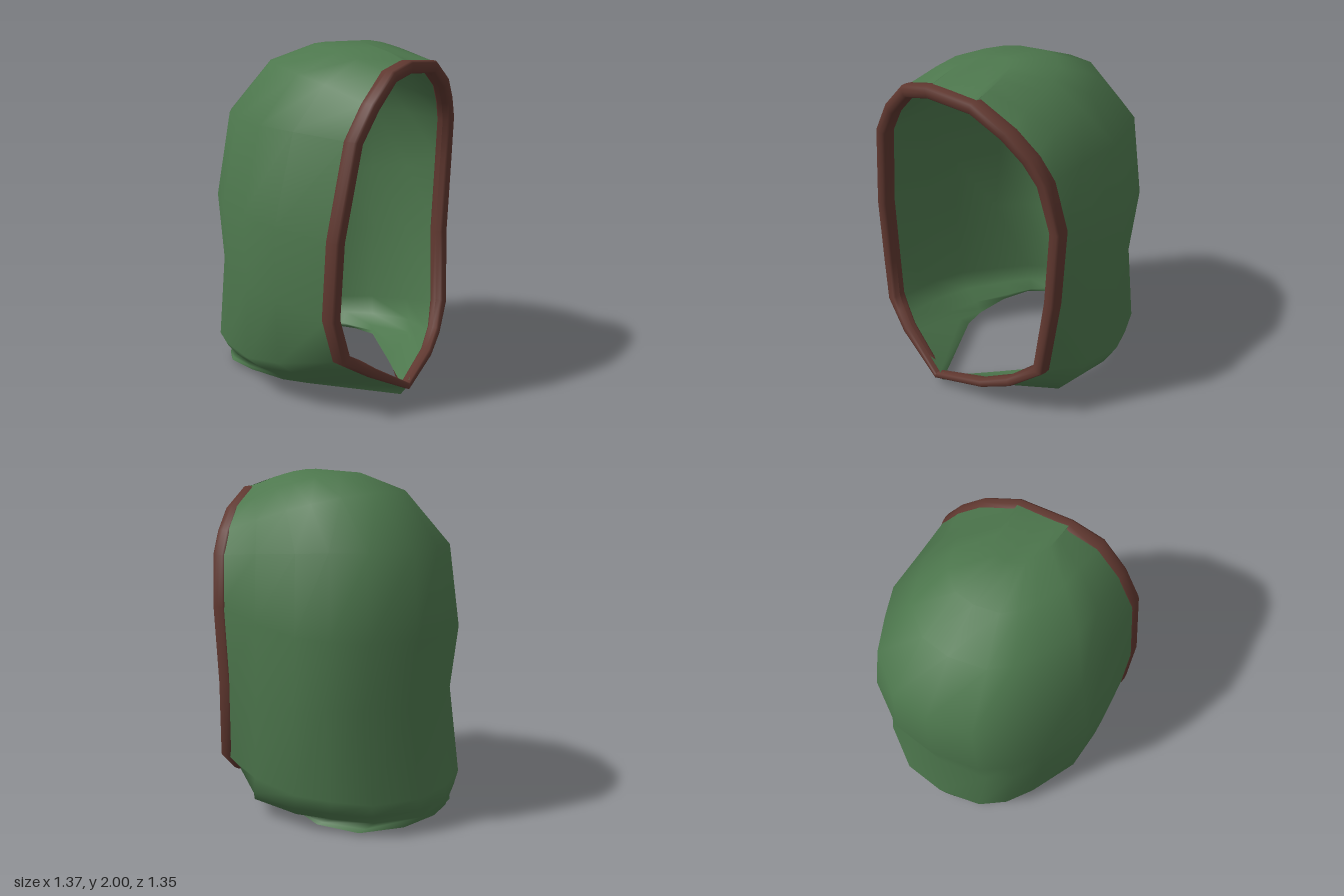
import * as THREE from 'three';

const cloth = new THREE.MeshStandardMaterial({ color: 0x4d774d });
cloth.name = 'green cloth';
const trim = new THREE.MeshStandardMaterial({ color: 0x5f372f, side: THREE.DoubleSide });
trim.name = 'brown trim';

// Face opening, one half per side, from the crown down to the chin
const leftRim = [[.22, 1.89, .57], [.42, 1.78, .53], [.54, 1.66, .49], [.62, 1.53, .46],
  [.675, 1.25, .42], [.645, .8, .42], [.6, .35, .46], [.42, .21, .53], [.24, .135, .585]];
const rightRim = [[-.08, 1.91, .6], [-.27, 1.87, .61], [-.43, 1.72, .6], [-.55, 1.54, .58],
  [-.645, 1.03, .54], [-.655, .6, .52], [-.6, .36, .55], [-.5, .295, .58], [-.4, .23, .61]];
const chin = [-.09, .06, .65];

// Back of the hood for each pair of rim points: [y, z, left bulge, right bulge]
const spine = [[2, .2, .9, 1], [1.98, -.08, .88, .95], [1.88, -.35, .9, 1], [1.58, -.62, .99, 1.04],
  [1.1, -.66, 1.01, 1.06], [.72, -.6, 1.03, 1.05], [.21, -.68, 1.13, 1.12],
  [.12, -.66, 1.44, 1.18], [.06, -.64, 2, 1.27]];

// Path from the left rim round the back to the right rim: [sideways, depth]
const wrap = [[1, 0], [1, .25], [1, .5], [.89, .66], [.74, .84], [.38, .98], [0, 1],
  [-.41, .95], [-.62, .86], [-.78, .73], [-.98, .5], [-1, .3], [-1, 0]];

// Edge of the neck opening, matching the wrap path
const neck = [[-.09, .005, .61], [.2, .03, .35], [.47, .06, .05], [.53, .035, -.15], [.48, .025, -.4],
  [.26, .02, -.56], [0, .015, -.61], [-.27, .02, -.57], [-.37, .03, -.46], [-.42, .04, -.25],
  [-.42, .045, 0], [-.38, .05, .15], [-.09, .005, .61]];

const { lerp, clamp } = THREE.MathUtils;

// Surface through equal rows of points
function gridGeometry(rows, flip = false) {
  const n = rows[0].length;
  const index = [];
  for (let j = 0; j < rows.length - 1; j++) {
    for (let i = 0; i < n - 1; i++) {
      const a = j * n + i, b = a + 1, c = a + n, d = c + 1;
      if (flip) index.push(a, b, c, b, d, c);
      else index.push(a, c, b, b, c, d);
    }
  }
  const geometry = new THREE.BufferGeometry();
  geometry.setAttribute('position', new THREE.Float32BufferAttribute(rows.flat(2), 3));
  geometry.setIndex(index);
  geometry.computeVertexNormals();
  return geometry;
}

function hoodRow(k, depth = 1) {
  const p = leftRim[k], q = rightRim[k];
  const [backY, backZ, leftBulge, rightBulge] = spine[k];
  return wrap.map(([u, v]) => {
    const mid = (axis) => (p[axis] + q[axis]) / 2;
    const half = (axis) => (p[axis] - q[axis]) / 2;
    const d = v * depth;
    const bulge = d === 0 ? 1 : u > 0 ? leftBulge : rightBulge;
    const arch = u > 0 && k < 3 ? 1.2 : 2; // the crown is flatter on its left
    return [
      mid(0) + half(0) * u * bulge,
      lerp(mid(1) + half(1) * u, backY, 1 - (1 - d) ** arch),
      lerp(mid(2) + half(2) * u, backZ, d) + (d ? 0 : depth ? -.02 : .015),
    ];
  });
}

// Moves a point by the cloth thickness towards the middle of the hood
function inset([x, y, z]) {
  const point = new THREE.Vector3(x, y, z);
  const core = new THREE.Vector3(0, clamp(y, .2, 1.3), Math.max(z, 0));
  return point.add(core.sub(point).setLength(.045)).toArray();
}

const makeMesh = (geometry, material, name) => {
  const mesh = new THREE.Mesh(geometry, material);
  mesh.name = name;
  return mesh;
};

export function createModel() {
  const hood = new THREE.Group();
  hood.name = 'hood';

  // Outer cloth, from the top of the rim past the chin to the neck
  const rows = [hoodRow(0, 0), ...spine.map((_, k) => hoodRow(k))];
  const last = rows[rows.length - 1];
  const hem = neck.map((p, i) => (i === 0 || i === neck.length - 1
    ? chin : p.map((value, axis) => lerp(last[i][axis], value, .6))));
  rows.push(hem, neck);
  hood.add(makeMesh(gridGeometry(rows), cloth, 'outerShell'));

  // Inner lining
  const lining = rows.map((row) => row.map(inset));
  hood.add(makeMesh(gridGeometry(lining, true), cloth, 'lining'));

  // Neck edge closing the gap between cloth and lining
  hood.add(makeMesh(gridGeometry([neck, neck.map(inset)]), trim, 'neckTrim'));

  // Rounded rim around the face opening, thinner towards the chin
  const loop = [chin, ...[...leftRim].reverse(), ...rightRim];
  const count = loop.length;
  const sides = 12;
  const soft = (value) => Math.sign(value) * Math.abs(value) ** .6;
  const rim = [];
  for (let j = 0; j <= count; j++) {
    const p = loop[j % count];
    const before = loop[(j + count - 1) % count], after = loop[(j + 1) % count];
    const inward = new THREE.Vector2(before[1] - after[1], after[0] - before[0]).normalize();
    const width = lerp(.02, .037, clamp((p[1] - .06) / .3, 0, 1));
    const ring = [];
    for (let s = 0; s <= sides; s++) {
      const angle = -s / sides * Math.PI * 2;
      const across = width - .009 + width * soft(Math.cos(angle));
      ring.push([p[0] + inward.x * across, p[1] + inward.y * across,
        p[2] - .008 + (width + .011) * soft(Math.sin(angle))]);
    }
    rim.push(ring);
  }
  hood.add(makeMesh(gridGeometry(rim), trim, 'faceRim'));

  return hood;
}
